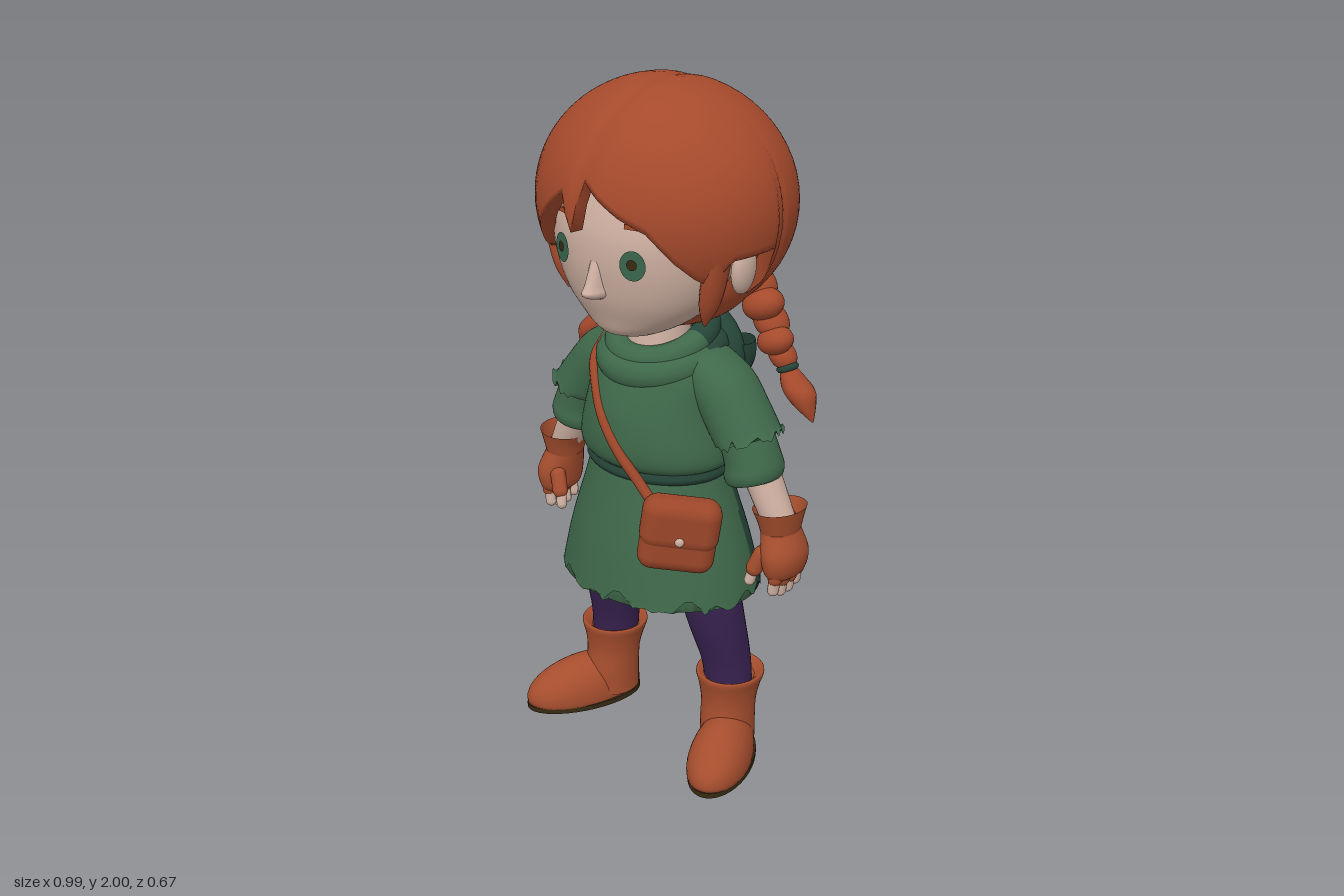
import * as THREE from 'three';
import { RoundedBoxGeometry } from 'three/addons/geometries/RoundedBoxGeometry.js';

const mat = (name, color, side = THREE.FrontSide) => {
  const m = new THREE.MeshStandardMaterial({ color, side });
  m.name = name;
  return m;
};

// Closed-around surface: fn(angle, row 0..1) gives a point; rows run upward
function grid(nu, nv, fn, isBack) {
  const pos = [], front = [], back = [];
  for (let j = 0; j <= nv; j++)
    for (let i = 0; i < nu; i++) pos.push(...fn((i / nu) * Math.PI * 2, j / nv, j));
  for (let j = 0; j < nv; j++)
    for (let i = 0; i < nu; i++) {
      const a = j * nu + i, b = j * nu + (i + 1) % nu, c = a + nu, d = b + nu;
      const list = isBack && isBack(pos[a * 3], pos[a * 3 + 2]) ? back : front;
      list.push(a, b, d, a, d, c);
    }
  const g = new THREE.BufferGeometry();
  g.setAttribute('position', new THREE.Float32BufferAttribute(pos, 3));
  g.setIndex([...front, ...back]);
  if (isBack) {
    g.addGroup(0, front.length, 0);
    g.addGroup(front.length, back.length, 1);
  }
  g.computeVertexNormals();
  return g;
}

// Smooth loft through oval rings [y, cx, cz, rx, rz, tilt], lowest first
function loft(rings, { n = 32, jag = 0, isBack } = {}) {
  const last = rings.length - 1;
  const value = (k, t) => {
    const i = Math.min(Math.floor(t * last), last - 1), f = t * last - i;
    const p = (q) => rings[Math.max(0, Math.min(last, q))][k] || 0;
    const a = p(i - 1), b = p(i), c = p(i + 1), d = p(i + 2);
    return b + 0.5 * f * (c - a + f * (2 * a - 5 * b + 4 * c - d + f * (3 * (b - c) + d - a)));
  };
  return grid(n, last * 4, (a, t, j) => {
    const [y, cx, cz, rx, rz, tilt] = [0, 1, 2, 3, 4, 5].map((k) => value(k, t));
    const tear = j === 0 ? jag * Math.abs(Math.sin(a * 4 + 1) * Math.sin(a * 9)) : 0;
    return [cx + rx * Math.sin(a), y + rx * Math.sin(a) * tilt + tear, cz + rz * Math.cos(a)];
  }, isBack);
}

const at = (g, x, y, z, rx = 0, ry = 0, rz = 0) =>
  g.applyMatrix4(new THREE.Matrix4().makeRotationFromEuler(new THREE.Euler(rx, ry, rz))).translate(x, y, z);
const ball = (x, y, z, sx, sy, sz, rz = 0) =>
  at(new THREE.SphereGeometry(1, 24, 16).scale(sx, sy, sz), x, y, z, 0, 0, rz);

function mirrored(g) {
  const m = g.clone().scale(-1, 1, 1), ix = m.index.array;
  for (let i = 0; i < ix.length; i += 3) [ix[i], ix[i + 1]] = [ix[i + 1], ix[i]];
  m.computeVertexNormals();
  return m;
}

export function createModel() {
  const D = THREE.DoubleSide;
  const hair = mat('hair', 0xa64a2c, D), leather = mat('leather', 0xa64e2e, D);
  const skin = mat('skin', 0xceb0a1), green = mat('greenCloth', 0x3f684a, D);
  const dark = mat('darkGreenCloth', 0x264539, D), purple = mat('purpleLeggings', 0x382250);
  const plum = mat('darkPlum', 0x2f1734), sole = mat('darkSole', 0x382a14);
  const iris = mat('greenIris', 0x39664f), bagLeather = mat('bagLeather', 0x9c4629);
  const model = new THREE.Group();
  const add = (name, g, m) => {
    const mesh = new THREE.Mesh(g, m);
    mesh.name = name;
    model.add(mesh);
  };
  const pair = (name, g, m) => {
    add(name + 'Left', g, m);
    add(name + 'Right', mirrored(g), m);
  };

  // Face, nose, ears and neck
  add('face', loft([[1.315, 0, 0.15, 0.01, 0.01], [1.33, 0, 0.14, 0.09, 0.085], [1.38, 0, 0.11, 0.18, 0.14],
    [1.45, 0, 0.09, 0.245, 0.185], [1.55, 0, 0.08, 0.285, 0.21], [1.65, 0, 0.08, 0.29, 0.2],
    [1.78, 0, 0.08, 0.24, 0.15]], { n: 48 }), skin);
  add('nose', loft([[1.44, 0, 0.262, 0.008, 0.008], [1.452, 0, 0.27, 0.026, 0.045], [1.466, 0, 0.272, 0.03, 0.06],
    [1.485, 0, 0.27, 0.026, 0.05], [1.55, 0, 0.27, 0.02, 0.022]], { n: 24 }), skin);
  add('neck', loft([[1.2, 0, 0.035, 0.105, 0.1], [1.28, 0, 0.03, 0.09, 0.09], [1.4, 0, 0.02, 0.085, 0.08]]), skin);
  pair('ear', ball(0.31, 1.535, 0.045, 0.026, 0.07, 0.043, -0.1), skin);

  // Eyes and brows
  pair('iris', at(new THREE.CircleGeometry(0.039, 24).scale(0.95, 1.05, 1), 0.127, 1.56, 0.277, 0, 0.345, 0), iris);
  pair('pupil', at(new THREE.CircleGeometry(0.015, 20), 0.127, 1.563, 0.281, 0, 0.345, 0), sole);
  pair('brow', at(new THREE.BoxGeometry(0.07, 0.013, 0.008), 0.132, 1.66, 0.264, 0, 0.35, -0.05), hair);

  // Hair cap, cut off along a hairline of [degrees from front, height]
  const line = [[-180, 1.336], [-106, 1.336], [-99, 1.37], [-93, 1.59], [-66, 1.58], [-55, 1.51], [-45, 1.54],
    [-35, 1.61], [-20, 1.69], [-12, 1.73], [-6, 1.63], [0, 1.77], [9, 1.73], [18, 1.695], [30, 1.66],
    [42, 1.58], [52, 1.53], [60, 1.51], [68, 1.58], [93, 1.59], [99, 1.37], [106, 1.336], [180, 1.336]];
  const hairline = (a) => {
    let d = THREE.MathUtils.radToDeg(a);
    if (d > 180) d -= 360;
    const k = Math.max(1, line.findIndex((p) => p[0] >= d));
    const [d0, y0] = line[k - 1], [d1, y1] = line[k];
    return y0 + (y1 - y0) * (d - d0) / (d1 - d0);
  };
  add('hairCap', grid(120, 30, (a, t, j) => {
    const low = Math.acos((hairline(a) - 1.667) / 0.335);
    const p = low * Math.min(1, (30 - j) / 29);
    const s = Math.sin(p), lip = j === 0 ? 0.88 : 1;
    const x = 0.375 * s * Math.sin(a);
    const groove = 1 - 0.018 * Math.exp(-((x / 0.03) ** 2));
    return [x * lip, 1.667 + 0.335 * Math.cos(p) * groove, 0.339 * s * Math.cos(a) * lip * groove];
  }), hair);
  add('napeHair', loft([[1.325, 0, -0.01, 0.02, 0.02], [1.335, 0, -0.01, 0.13, 0.13], [1.38, 0, -0.015, 0.21, 0.17],
    [1.46, 0, -0.02, 0.275, 0.18], [1.6, 0, -0.02, 0.315, 0.17]], { n: 40 }), hair);
  pair('sideLock', loft([[1.385, 0.25, 0.13, 0.003, 0.005], [1.45, 0.266, 0.13, 0.026, 0.033],
    [1.55, 0.288, 0.13, 0.03, 0.043], [1.66, 0.31, 0.13, 0.022, 0.043]], { n: 16 }), hair);

  // Braids
  [[0.235, 1.44, 0.055], [0.272, 1.395, 0.054], [0.285, 1.345, 0.051], [0.317, 1.3, 0.047], [0.328, 1.255, 0.04]]
    .forEach(([x, y, r], i) =>
      pair('braidKnot' + (i + 1), ball(x, y, -0.1 + (i % 2 ? 0.01 : -0.01), r * 1.15, r * 0.85, r, i % 2 ? 0.35 : -0.75), hair));
  pair('braidTie', at(new THREE.TorusGeometry(0.022, 0.01, 8, 20), 0.35, 1.225, -0.105, Math.PI / 2, 0.4, 0), dark);
  pair('braidTassel', loft([[1.085, 0.437, -0.11, 0.003, 0.003], [1.125, 0.41, -0.11, 0.03, 0.03],
    [1.165, 0.388, -0.11, 0.046, 0.044], [1.2, 0.367, -0.107, 0.035, 0.035], [1.235, 0.347, -0.105, 0.018, 0.018]],
  { n: 20 }), hair);

  // Tunic: blouse, sash and torn skirt, darker at the back and right flank
  const rear = (x, z) => z < (x < 0 ? 0.1 : -0.04);
  add('blouse', loft([[0.92, 0, 0.03, 0.205, 0.165], [0.945, 0, 0.035, 0.237, 0.188], [1, 0, 0.037, 0.236, 0.196],
    [1.1, 0, 0.035, 0.212, 0.185], [1.2, 0, 0.025, 0.2, 0.155], [1.25, 0, 0.02, 0.165, 0.13],
    [1.27, 0, 0.015, 0.12, 0.1]], { n: 64, isBack: rear }), [green, dark]);
  add('sash', loft([[0.895, 0, 0.03, 0.215, 0.176], [0.91, 0, 0.03, 0.226, 0.186], [0.93, 0, 0.03, 0.222, 0.182]],
    { n: 48 }), dark);
  add('skirt', loft([[0.53, 0, 0.025, 0.32, 0.252], [0.6, 0, 0.025, 0.305, 0.242], [0.7, 0, 0.027, 0.278, 0.224],
    [0.85, 0, 0.03, 0.228, 0.188], [0.94, 0, 0.03, 0.205, 0.17]], { n: 96, jag: 0.05, isBack: rear }), [green, dark]);

  // Cowl folds, low in front, and the hood hanging behind
  [[0.128, 0.04, 1.28, 0.38], [0.146, 0.046, 1.238, 0.28]].forEach(([r, tube, y, tilt], k) => {
    [green, dark].forEach((m, back) => {
      const fold = new THREE.TorusGeometry(r, tube, 14, 32, Math.PI).rotateX(Math.PI / 2).rotateY(back * Math.PI);
      add((back ? 'cowlBack' : 'cowlFront') + (k + 1), at(fold, 0, y, 0.015, tilt, 0, 0), m);
    });
  });
  add('hood', ball(0, 1.215, -0.1, 0.195, 0.155, 0.085), dark);
  add('hoodRim', at(new THREE.TorusGeometry(0.145, 0.034, 12, 32, Math.PI).rotateZ(Math.PI).scale(1.15, 1.08, 1),
    0, 1.255, -0.135, 0.22, 0, 0), dark);

  // Sleeves, rolled cuffs and forearms
  pair('sleeve', loft([[1.03, 0.318, 0.01, 0.086, 0.1, 0.35], [1.1, 0.265, 0.005, 0.084, 0.098, 0.45],
    [1.18, 0.2, 0, 0.078, 0.098, 0.5], [1.25, 0.13, 0, 0.05, 0.08, 0.4]], { n: 40, jag: 0.035 }), green);
  pair('sleeveCuff', loft([[0.93, 0.335, 0.01, 0.05, 0.055, 0.25], [0.925, 0.335, 0.01, 0.072, 0.08, 0.25],
    [0.95, 0.332, 0.01, 0.08, 0.09, 0.25], [0.985, 0.326, 0.01, 0.075, 0.085, 0.25],
    [1.05, 0.3, 0.01, 0.07, 0.082, 0.3]]), green);
  pair('forearm', loft([[0.8, 0.42, -0.005, 0.045, 0.045, 0.3], [0.87, 0.385, -0.003, 0.047, 0.052, 0.3],
    [0.98, 0.33, 0, 0.052, 0.056, 0.3]], { n: 24 }), skin);

  // Fingerless gloves and hands
  pair('gloveCuff', loft([[0.79, 0.418, -0.005, 0.052, 0.062, 0.1], [0.825, 0.417, -0.005, 0.06, 0.072, 0.1],
    [0.86, 0.413, -0.005, 0.072, 0.083, 0.1]], { n: 36 }), leather);
  pair('glove', loft([[0.65, 0.437, -0.003, 0.02, 0.045], [0.675, 0.437, -0.003, 0.046, 0.073],
    [0.73, 0.436, -0.002, 0.057, 0.082], [0.79, 0.42, -0.005, 0.052, 0.064], [0.83, 0.41, -0.005, 0.046, 0.055]],
  { n: 28 }), leather);
  for (let i = 0; i < 4; i++) {
    const z = 0.045 - i * 0.033, drop = i % 3 ? 0 : 0.012;
    pair('gloveFinger' + (i + 1), at(new THREE.CapsuleGeometry(0.021, 0.035, 4, 12), 0.443, 0.668 + drop, z, 0, 0, -0.1), leather);
    pair('fingertip' + (i + 1), at(new THREE.CapsuleGeometry(0.0165, 0.04, 4, 12), 0.438, 0.632 + drop, z, 0, 0, -0.15), skin);
  }
  pair('gloveThumb', at(new THREE.CapsuleGeometry(0.024, 0.05, 4, 12), 0.388, 0.705, 0.055, -0.2, 0, -0.35), leather);
  pair('thumbTip', at(new THREE.CapsuleGeometry(0.016, 0.03, 4, 12), 0.371, 0.657, 0.063, -0.2, 0, -0.2), skin);

  // Leggings
  add('hips', ball(0, 0.66, 0.02, 0.2, 0.12, 0.14), plum);
  pair('legging', loft([[0.2, 0.23, -0.02, 0.07, 0.07], [0.3, 0.222, -0.015, 0.072, 0.075],
    [0.42, 0.205, 0.008, 0.082, 0.086], [0.55, 0.18, 0.025, 0.092, 0.094], [0.7, 0.13, 0.025, 0.1, 0.11]]), purple);

  // Boots: shaft with folded rim, foot turned outward, sole
  pair('bootShaft', loft([[0.03, 0.235, -0.01, 0.078, 0.088], [0.1, 0.235, -0.01, 0.078, 0.088],
    [0.17, 0.234, -0.015, 0.08, 0.085], [0.22, 0.233, -0.02, 0.089, 0.094], [0.255, 0.233, -0.022, 0.1, 0.103],
    [0.265, 0.233, -0.022, 0.094, 0.097], [0.245, 0.233, -0.022, 0.07, 0.072]]), leather);
  const foot = new THREE.SphereGeometry(1, 32, 24).scale(0.09, 0.115, 0.188);
  const fp = foot.attributes.position;
  for (let i = 0; i < fp.count; i++) {
    const wide = 1 + 0.6 * fp.getZ(i);
    fp.setXYZ(i, fp.getX(i) * wide, Math.max(-0.015, fp.getY(i)) * (1 - fp.getZ(i)), fp.getZ(i));
  }
  foot.computeVertexNormals();
  pair('bootFoot', at(foot, 0.283, 0.03, 0.072, 0, 0.42, 0), leather);
  pair('bootSole', at(new THREE.CylinderGeometry(1, 1, 0.016, 40).scale(0.092, 1, 0.188), 0.283, 0.008, 0.072, 0, 0.42, 0), sole);

  // Shoulder bag with flap, clasp and strap
  const bag = new THREE.Group();
  bag.name = 'bag';
  const bagPart = (name, g, m) => {
    const mesh = new THREE.Mesh(g, m);
    mesh.name = name;
    bag.add(mesh);
  };
  bagPart('bagBody', new RoundedBoxGeometry(0.215, 0.215, 0.09, 5, 0.042), bagLeather);
  bagPart('bagFlap', new RoundedBoxGeometry(0.222, 0.155, 0.1, 5, 0.045).translate(0, 0.036, 0.003), bagLeather);
  bagPart('bagClasp', ball(0, 0, 0.053, 0.013, 0.013, 0.008), skin);
  bag.position.set(0.222, 0.787, 0.2);
  bag.rotation.set(0, 0.75, -0.14);
  model.add(bag);
  const path = [[0.17, 0.86, 0.235], [0.1, 0.92, 0.23], [0.03, 0.99, 0.235], [-0.04, 1.07, 0.222],
    [-0.1, 1.14, 0.184], [-0.155, 1.2, 0.128], [-0.16, 1.25, 0.07]].map((p) => new THREE.Vector3(...p));
  add('bagStrap', new THREE.TubeGeometry(new THREE.CatmullRomCurve3(path), 40, 0.015, 8), bagLeather);

  return model;
}
